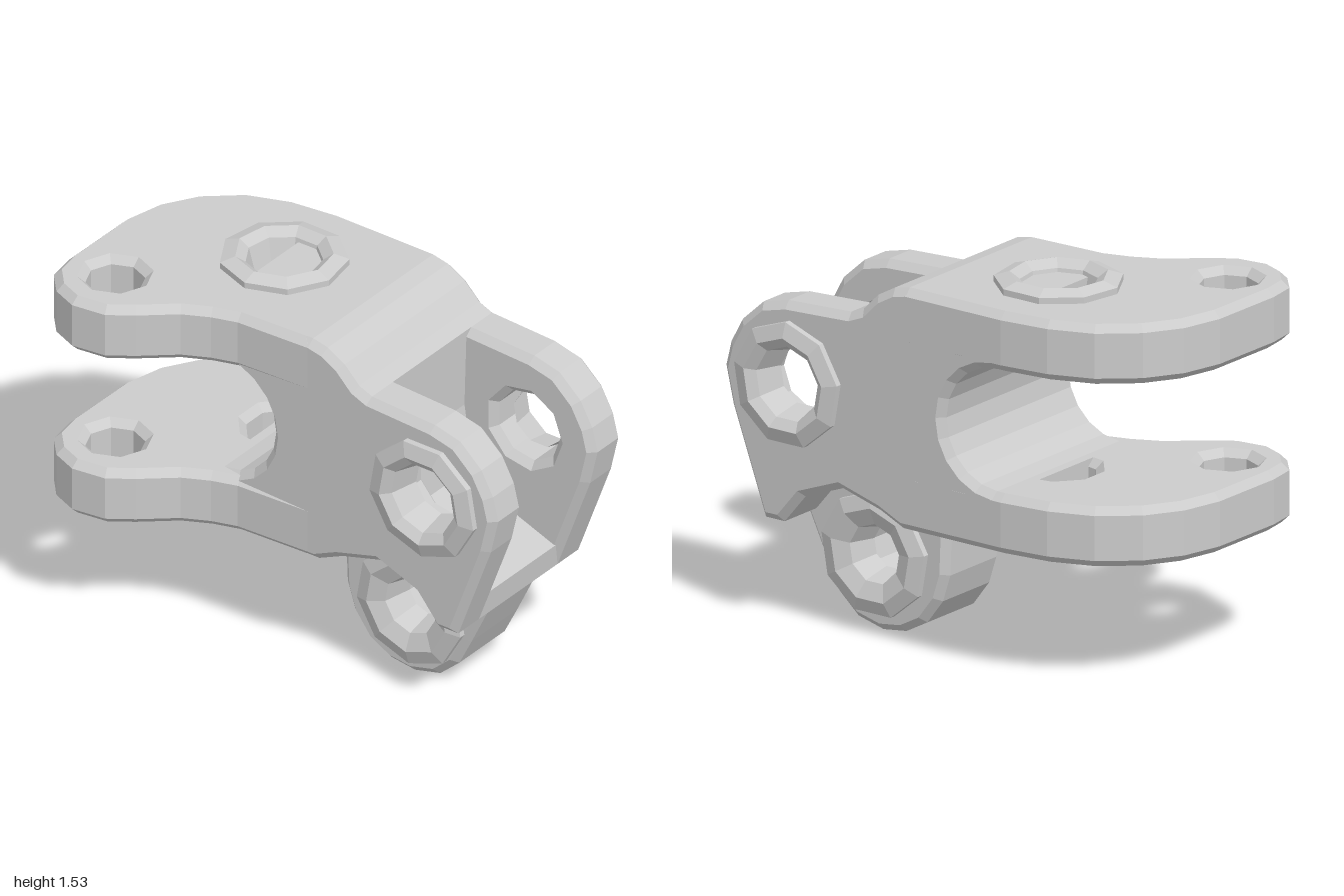
import * as THREE from 'three';

const grey = new THREE.MeshStandardMaterial({ color: 0xcccccc, flatShading: true, side: THREE.DoubleSide });
const BEVEL = 0.03;
const TILT = 0.083; // small yaw of the whole bracket

function add(group, name, geometry) {
  const mesh = new THREE.Mesh(geometry, grey);
  mesh.name = name;
  group.add(mesh);
  return mesh;
}

const toShape = (points) => new THREE.Shape(points.map(([x, y]) => new THREE.Vector2(x, y)));

function punch(shape, x, y, r, sides = 9) {
  const pts = [];
  for (let i = 0; i < sides; i++) {
    const a = (i / sides) * Math.PI * 2;
    pts.push(new THREE.Vector2(x + r * Math.cos(a), y + r * Math.sin(a)));
  }
  shape.holes.push(new THREE.Path(pts));
}

// Chamfered slab whose total thickness runs from z0 to z1
function slab(shape, z0, z1, b = BEVEL) {
  const g = new THREE.ExtrudeGeometry(shape, {
    depth: z1 - z0 - 2 * b, bevelEnabled: b > 0, bevelThickness: b,
    bevelSize: b, bevelOffset: -b, bevelSegments: 1, curveSegments: 8,
  });
  return g.translate(0, 0, z0 + b);
}

// Faceted collar with a funnel mouth running into its hole
function collar(hole) {
  const profile = [[0.25, -0.02], [0.25, 0.025], [0.19, 0.045], [hole + 0.03, 0.015], [hole, -0.1]];
  return new THREE.LatheGeometry(profile.map(([x, y]) => new THREE.Vector2(x, y)), 9);
}

export function createModel() {
  const model = new THREE.Group();
  model.name = 'doubleClevisBracket';
  const body = new THREE.Group();
  body.name = 'bracket';
  body.rotation.y = TILT;
  model.add(body);

  // Horizontal clevis plates, outline in plan (x, z)
  const plan = [
    [0.12, 0.27], [-0.2, 0.31], [-0.3, 0.35], [-0.4, 0.41], [-0.52, 0.53], [-0.61, 0.605], [-0.75, 0.635],
    [-0.86, 0.60], [-0.945, 0.52], [-0.975, 0.40], [-1, 0.07], [-0.975, -0.10], [-0.9, -0.25],
    [-0.77, -0.38], [-0.6, -0.46], [-0.4, -0.502], [0.06, -0.54],
  ].map(([x, z]) => [x - TILT * z, -(z + TILT * x)]);
  for (const [name, y0, y1] of [['upperPlate', 1.25, 1.49], ['lowerPlate', 0.52, 0.76]]) {
    const shape = toShape(plan);
    punch(shape, -0.325, 0.13, 0.15);
    punch(shape, -0.78, -0.33, 0.115, 8);
    add(body, name, slab(shape, y0, y1).rotateX(-Math.PI / 2));
  }

  // Rounded throat of the horizontal clevis, from lower arm to upper arm
  const throat = [[-0.36, 0.76]];
  for (let i = 0; i <= 10; i++) {
    const a = -Math.PI / 2 + (i / 10) * Math.PI;
    throat.push([-0.32 + 0.245 * Math.cos(a), 1.005 + 0.245 * Math.sin(a)]);
  }
  throat.push([-0.36, 1.25]);
  const leftSide = [[0.13, 0.52], [-0.36, 0.52], ...throat, [-0.36, 1.49], [0.1, 1.49], [0.17, 1.475], [0.25, 1.43], [0.32, 1.36], [0.38, 1.335]];
  const scallop = [[0.79, 0.43], [0.7, 0.43], [0.6, 0.55], [0.42, 0.62], [0.24, 0.57]];

  // Upright cheeks of the second clevis
  const cheek = [
    ...leftSide, [0.68, 1.32], [0.8, 1.29], [0.9, 1.2], [0.955, 1.1], [0.98, 1.0], [0.945, 0.85], ...scallop,
  ];
  for (const [name, z0, z1] of [['frontCheek', 0.09, 0.28], ['backCheek', -0.535, -0.345]]) {
    const shape = toShape(cheek);
    punch(shape, 0.655, 1.0, 0.15);
    add(body, name, slab(shape, z0, z1));
  }

  // Solid core between the cheeks, ending in the curved slot wall and floor
  const core = [...leftSide, [0.37, 1.0], [0.41, 0.74], [0.54, 0.63], [0.8, 0.53], ...scallop];
  add(body, 'core', slab(toShape(core), -0.4, 0.14, 0));

  // Lower lug
  const lug = toShape([
    [0.07, 0.53], [0.08, 0.28], [0.115, 0.17], [0.19, 0.07], [0.29, 0.015], [0.4, 0], [0.52, 0.03], [0.61, 0.11],
    [0.67, 0.23], [0.78, 0.46], [0.6, 0.59], [0.42, 0.63], [0.2, 0.58],
  ]);
  punch(lug, 0.41, 0.31, 0.12);
  add(body, 'lowerLug', slab(lug, -0.31, 0.035));

  // Collars around the three pin holes, one on each outer side
  const collars = [
    ['upperPlateCollar', 0.12, [-0.325, 1.49, -0.13], 0],
    ['lowerPlateCollar', 0.12, [-0.325, 0.52, -0.13], Math.PI],
    ['frontCheekCollar', 0.12, [0.655, 1.0, 0.28], Math.PI / 2],
    ['backCheekCollar', 0.12, [0.655, 1.0, -0.535], -Math.PI / 2],
    ['frontLugCollar', 0.09, [0.41, 0.31, 0.035], Math.PI / 2],
    ['backLugCollar', 0.09, [0.41, 0.31, -0.31], -Math.PI / 2],
  ];
  for (const [name, hole, position, turn] of collars) {
    const mesh = add(body, name, collar(hole));
    mesh.position.set(...position);
    mesh.rotation.x = turn;
  }
  return model;
}
